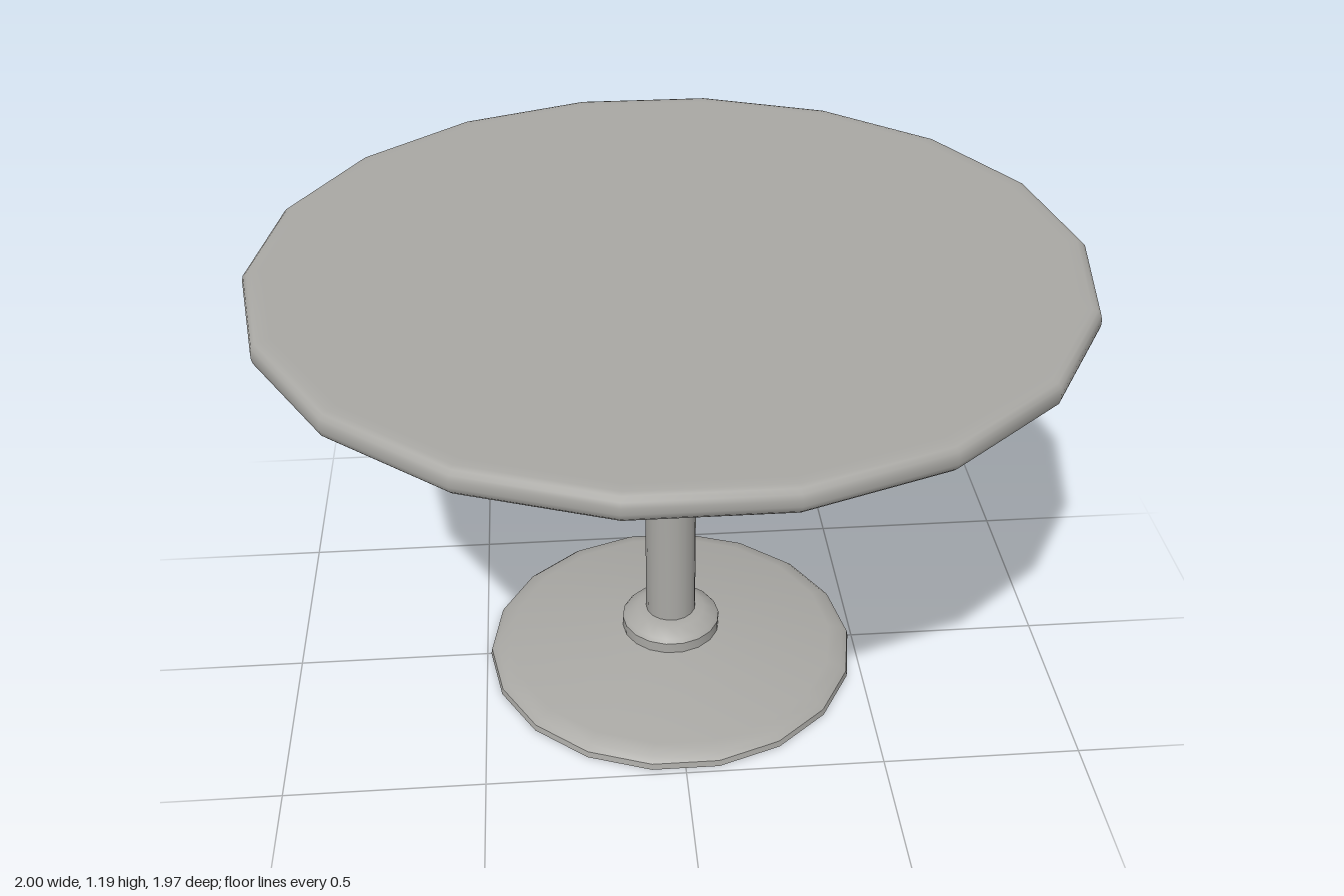
import * as THREE from 'three';
import { toCreasedNormals } from 'three/addons/utils/BufferGeometryUtils.js';

const SIDES = 18;

// Turned part: profile of [radius, height] from bottom to top, first corner on the +x axis
function turned(name, profile, material) {
  const points = profile.map(([r, y]) => new THREE.Vector2(r, y));
  const lathe = new THREE.LatheGeometry(points, SIDES, Math.PI / 2);
  const mesh = new THREE.Mesh(toCreasedNormals(lathe, 0.65), material);
  mesh.name = name;
  return mesh;
}

export function createModel() {
  const table = new THREE.Group();
  table.name = 'pedestalTable';
  const grey = new THREE.MeshStandardMaterial({ color: 0xa9a8a4 });
  grey.name = 'warm grey';

  // Round top with a softened rim
  const bottom = 1.125, top = 1.188, bevel = 0.024;
  const rim = [];
  for (let i = 0; i <= 3; i++) {
    const a = (i / 3) * Math.PI / 2;
    rim.push([1 - bevel + bevel * Math.sin(a), bevel * (1 - Math.cos(a))]);
  }
  table.add(turned('tableTop', [
    [0, bottom], [0.95, bottom],
    ...rim.map(([r, d]) => [r, bottom + d]),
    ...rim.slice().reverse().map(([r, d]) => [r, top - d]),
    [0.95, top], [0, top],
  ], grey));

  // Straight column
  table.add(turned('column', [[0.066, 0.1], [0.066, 1.13]], grey));

  // Collar where the column meets the foot
  table.add(turned('collar', [
    [0.13, 0.07], [0.13, 0.108], [0.122, 0.118], [0.09, 0.135], [0.066, 0.138], [0, 0.138],
  ], grey));

  // Shallow conical foot with a rounded edge
  table.add(turned('foot', [
    [0, 0], [0.49, 0], [0.487, 0.016], [0.472, 0.029], [0.435, 0.038], [0.13, 0.079], [0, 0.08],
  ], grey));

  return table;
}
